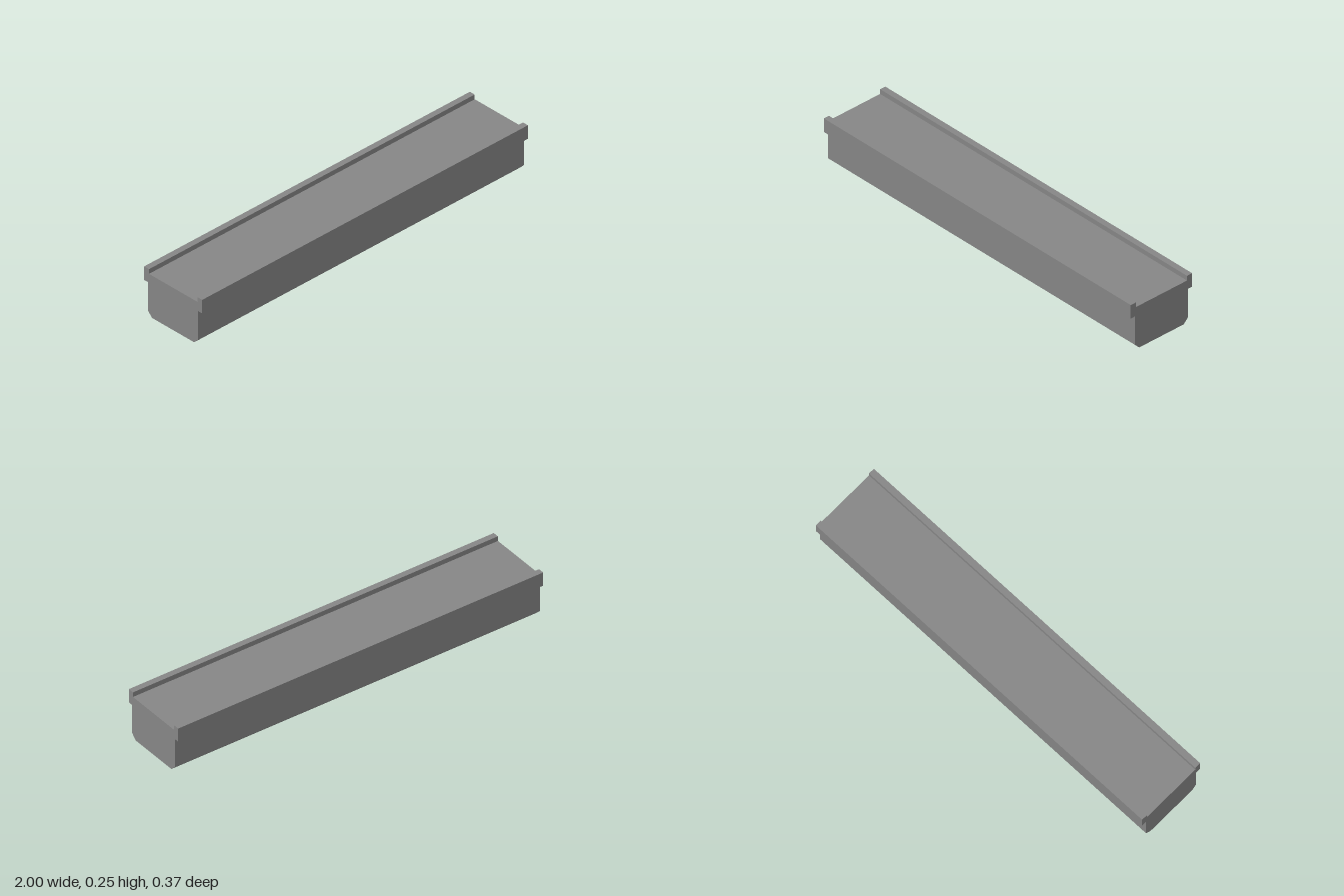
import * as THREE from 'three';

const LENGTH = 2;

// Half of the cross-section as [depth, height], from the underside up to the deck
const HALF_PROFILE = [
  [0.134, 0],     // underside edge
  [0.16, 0.026],  // top of the chamfer
  [0.16, 0.178],  // side wall
  [0.185, 0.178], // ledge under the kerb
  [0.185, 0.25],  // kerb outer face
  [0.154, 0.25],  // kerb top
  [0.154, 0.225], // kerb inner face meets the deck
];

export function createModel() {
  const group = new THREE.Group();
  group.name = 'bridgeBeam';

  // Mirror the half profile into a closed outline
  const mirrored = HALF_PROFILE.map(([d, h]) => [-d, h]).reverse();
  const outline = [...HALF_PROFILE, ...mirrored].map(([d, h]) => new THREE.Vector2(d, h));

  // Extrude the section and lay it along x
  const geometry = new THREE.ExtrudeGeometry(new THREE.Shape(outline), {
    depth: LENGTH,
    bevelEnabled: false,
  });
  geometry.translate(0, 0, -LENGTH / 2);
  geometry.rotateY(Math.PI / 2);

  // Dark concrete grey
  const material = new THREE.MeshStandardMaterial({ color: 0x868686, flatShading: true });
  const beam = new THREE.Mesh(geometry, material);
  beam.name = 'deckBeamWithKerbs';
  group.add(beam);

  return group;
}
